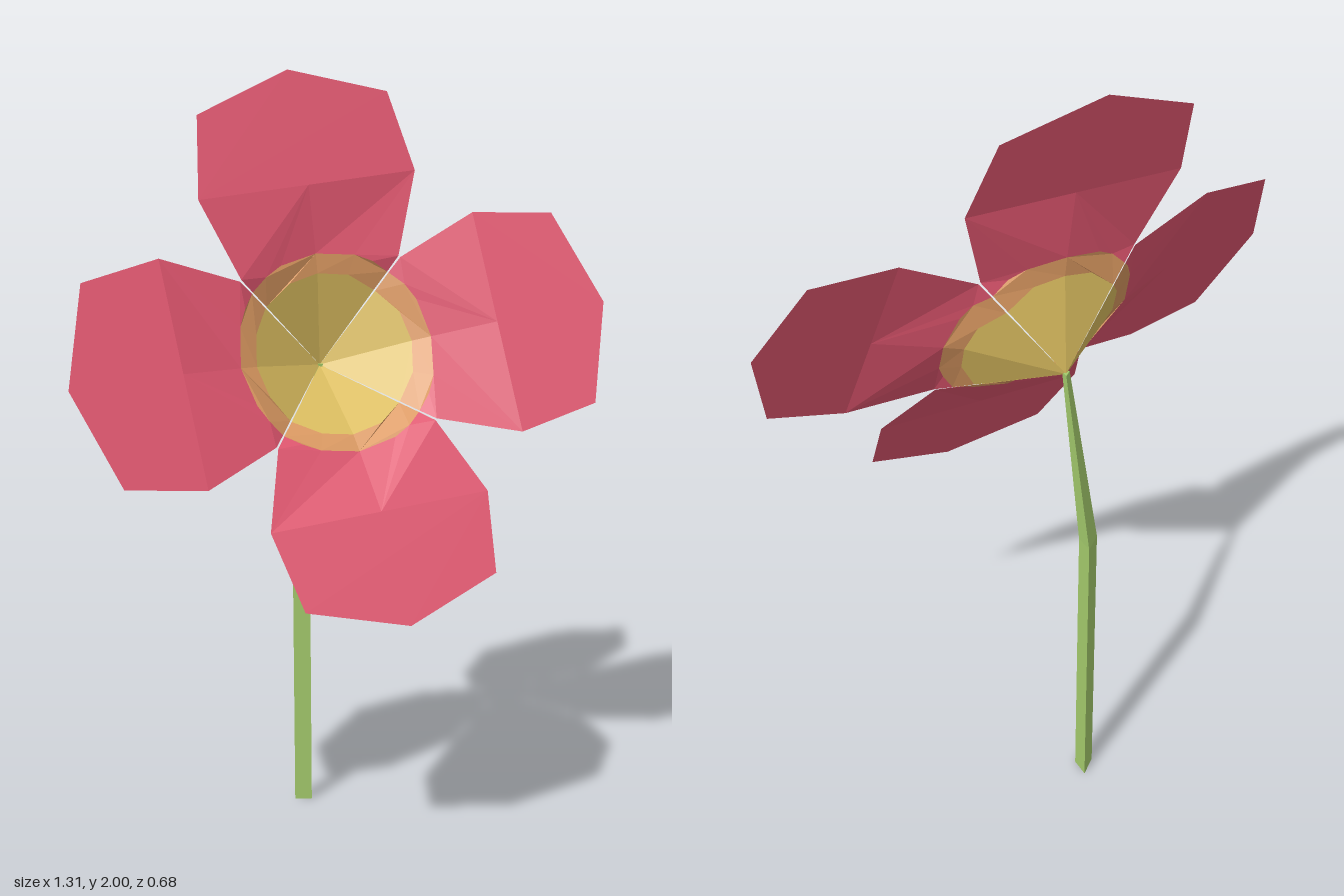
import * as THREE from 'three';

const material = (name, color) => {
  const m = new THREE.MeshStandardMaterial({ color, side: THREE.DoubleSide });
  m.name = name;
  return m;
};

// Cupped petal surface: creased cone at the base, folding out to a flat tip
function petalHeight(x, y) {
  const crease = 0.144 * Math.abs(x);
  if (y <= 0.215) return 0.651 * y + crease;
  if (y >= 0.42) return 0.215 + 0.107 * (y - 0.42);
  return THREE.MathUtils.lerp(0.14 + crease, 0.215, (y - 0.215) / 0.205);
}

const outline = (points, side = 1) =>
  new THREE.Shape(points.map(([x, y]) => new THREE.Vector2(x * side, y)));
const mirrored = (points) => [outline(points), outline(points, -1)];

// Flat outlines are triangulated, then lifted onto the petal surface
function petalGeometry(shapes) {
  const geometry = new THREE.ShapeGeometry(shapes).toNonIndexed();
  const p = geometry.attributes.position;
  for (let i = 0; i < p.count; i++) p.setZ(i, petalHeight(p.getX(i), p.getY(i)));
  geometry.computeVertexNormals();
  return geometry;
}

// Three-sided stem lofted through a few sections
function stemGeometry() {
  const corners = [[-0.03, -0.005], [0.005, 0.025], [0.025, -0.02]];
  const sections = [
    { x: 0.12, y: 0, z: -0.305, s: 1 },
    { x: 0.104, y: 0.78, z: -0.29, s: 1 },
    { x: 0.093, y: 1.255, z: -0.206, s: 0.4 },
  ];
  const rings = sections.map(({ x, y, z, s }) =>
    corners.map(([cx, cz]) => [x + cx * s, y, z + cz * s]));
  const v = [];
  for (let k = 0; k < rings.length - 1; k++) {
    for (let i = 0; i < 3; i++) {
      const j = (i + 1) % 3;
      const a = rings[k], b = rings[k + 1];
      v.push(...a[i], ...a[j], ...b[i], ...a[j], ...b[j], ...b[i]);
    }
  }
  const [bottom, top] = [rings[0], rings[rings.length - 1]];
  v.push(...bottom[0], ...bottom[2], ...bottom[1], ...top[0], ...top[1], ...top[2]);
  const geometry = new THREE.BufferGeometry();
  geometry.setAttribute('position', new THREE.Float32BufferAttribute(v, 3));
  geometry.computeVertexNormals();
  return geometry;
}

export function createModel() {
  const model = new THREE.Group();
  model.name = 'flower';
  const pink = material('petal pink', 0xe0566f);
  const yellow = material('centre yellow', 0xdcbe60);
  const orange = material('ring orange', 0xdc9a62);
  const green = material('stem green', 0xa4cb6c);

  // Half-outlines, mirrored across the petal's middle
  const innerArc = [[0, 0.21], [0.08, 0.194], [0.146, 0.149]];
  const outerArc = [[0, 0.257], [0.1, 0.238], [0.144, 0.215], [0.182, 0.185]];
  const parts = [
    ['petalCentre', yellow, mirrored([[0, 0], ...innerArc])],
    ['petalRing', orange, mirrored([...innerArc, ...[...outerArc].reverse()])],
    ['petalBlade', pink, [
      ...mirrored([...outerArc, [0.212, 0.216], [0.29, 0.42], [0, 0.42]]),
      outline([[-0.29, 0.42], [0.29, 0.42], [0.254, 0.627], [0, 0.711], [-0.254, 0.627]]),
    ]],
  ].map(([name, mat, shapes]) => [name, mat, petalGeometry(shapes)]);

  // Blossom tilted forward, four petals around its axis
  const blossom = new THREE.Group();
  blossom.name = 'blossom';
  const axis = new THREE.Vector3(-0.375, 0.392, 0.842).normalize();
  const side = new THREE.Vector3(0.074, 0.917, -0.394).cross(axis).normalize();
  const up = axis.clone().cross(side);
  blossom.quaternion.setFromRotationMatrix(new THREE.Matrix4().makeBasis(side, up, axis));
  blossom.position.set(0.093, 1.252, -0.206);
  for (let i = 0; i < 4; i++) {
    const petal = new THREE.Group();
    petal.name = 'petal';
    petal.rotation.z = i * Math.PI / 2;
    for (const [name, mat, geometry] of parts) {
      const mesh = new THREE.Mesh(geometry, mat);
      mesh.name = name;
      petal.add(mesh);
    }
    blossom.add(petal);
  }
  model.add(blossom);

  const stem = new THREE.Mesh(stemGeometry(), green);
  stem.name = 'stem';
  model.add(stem);
  return model;
}
